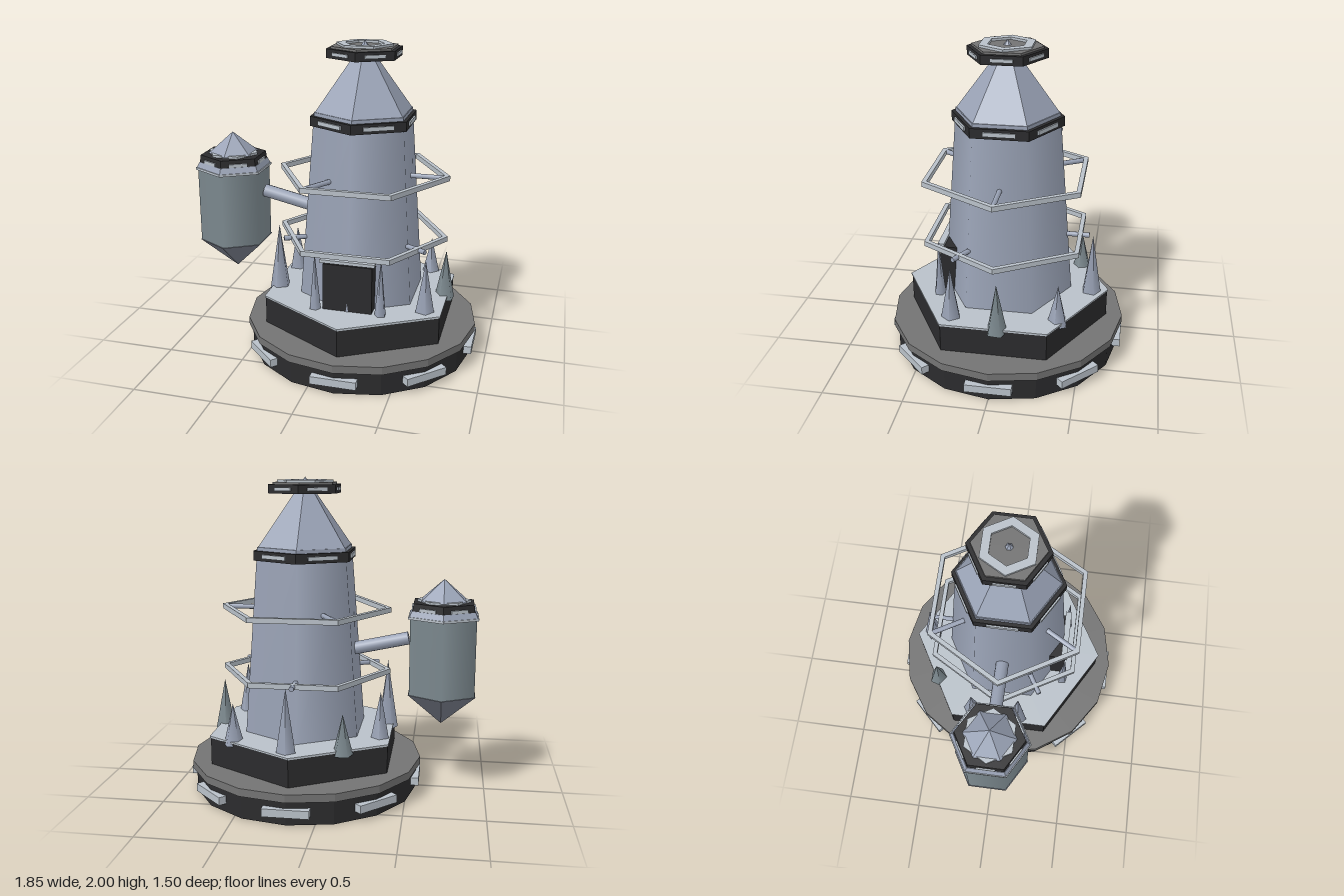
import * as THREE from 'three';

const paint = (color, flatShading = false) => new THREE.MeshStandardMaterial({ color, flatShading });
const DARK = paint(0x2b2b2d, true);
const RIM = paint(0x737373, true);
const LIGHT = paint(0xb9c1c9, true);
const BLUE = paint(0x9aa3b6);
const BLUE_FLAT = paint(0x9aa3b6, true);
const STONE = paint(0x7d8a90);
const KEEL = paint(0x7a7f8c, true);

function add(parent, name, geometry, material, x = 0, y = 0, z = 0) {
  const mesh = new THREE.Mesh(geometry, material);
  mesh.name = name;
  mesh.position.set(x, y, z);
  parent.add(mesh);
  return mesh;
}

// Prism or frustum between two heights, hexagonal unless told otherwise
function prism(parent, name, rTop, rBottom, y0, y1, material, sides = 6) {
  return add(parent, name, new THREE.CylinderGeometry(rTop, rBottom, y1 - y0, sides), material, 0, (y0 + y1) / 2, 0);
}

// Flat hexagonal frame with square section, corners on +x and -x
function hexRing(parent, name, outer, inner, y0, y1) {
  const hexagon = (r) => Array.from({ length: 6 }, (_, i) =>
    new THREE.Vector2(r * Math.cos(i * Math.PI / 3), r * Math.sin(i * Math.PI / 3)));
  const shape = new THREE.Shape(hexagon(outer));
  shape.holes.push(new THREE.Path(hexagon(inner)));
  const geometry = new THREE.ExtrudeGeometry(shape, { depth: y1 - y0, bevelEnabled: false });
  geometry.rotateX(-Math.PI / 2);
  return add(parent, name, geometry, LIGHT, 0, y0, 0);
}

// Light panels spread evenly round a band
function panels(parent, name, count, start, radius, y, width, height, depth) {
  for (let i = 0; i < count; i++) {
    const a = start + i * Math.PI * 2 / count;
    const panel = add(parent, name, new THREE.BoxGeometry(width, height, depth), LIGHT,
      Math.sin(a) * radius, y, Math.cos(a) * radius);
    panel.rotation.y = a;
  }
}

// Round bar between two points
function bar(parent, name, from, to, radius, material, sides = 8) {
  const a = new THREE.Vector3(...from), b = new THREE.Vector3(...to);
  const dir = b.clone().sub(a);
  const mesh = add(parent, name, new THREE.CylinderGeometry(radius, radius, dir.length(), sides), material);
  mesh.position.copy(a).add(b).multiplyScalar(0.5);
  mesh.quaternion.setFromUnitVectors(new THREE.Vector3(0, 1, 0), dir.normalize());
}

const HEX_FACE = Math.PI / 6;
const APOTHEM = Math.cos(HEX_FACE);

function buildBase() {
  const base = new THREE.Group();
  base.name = 'base';
  prism(base, 'baseDrum', 0.728, 0.728, 0, 0.15, DARK, 16);
  prism(base, 'baseRim', 0.752, 0.752, 0.15, 0.2, RIM, 16);
  panels(base, 'basePanel', 8, 0, 0.725, 0.08, 0.285, 0.05, 0.05);
  prism(base, 'platform', 0.648, 0.648, 0.2, 0.375, DARK);
  prism(base, 'platformDeck', 0.655, 0.655, 0.375, 0.387, LIGHT);
  return base;
}

function buildTower() {
  const tower = new THREE.Group();
  tower.name = 'tower';
  prism(tower, 'towerBody', 0.325, 0.415, 0.38, 1.5, BLUE);
  prism(tower, 'collar', 0.345, 0.345, 1.49, 1.55, DARK);
  panels(tower, 'collarPanel', 6, HEX_FACE, 0.345 * APOTHEM, 1.52, 0.19, 0.025, 0.02);
  prism(tower, 'collarRim', 0.32, 0.32, 1.55, 1.572, BLUE_FLAT);
  prism(tower, 'roof', 0, 0.315, 1.57, 2.0, BLUE_FLAT);
  prism(tower, 'cap', 0.242, 0.242, 1.9, 1.955, DARK);
  prism(tower, 'capDisc', 0.215, 0.215, 1.955, 1.968, RIM);
  panels(tower, 'capPanel', 6, HEX_FACE, 0.242 * APOTHEM, 1.927, 0.13, 0.02, 0.016);
  hexRing(tower, 'capRing', 0.178, 0.122, 1.966, 1.982);

  // Door with lintel
  add(tower, 'door', new THREE.BoxGeometry(0.31, 0.31, 0.16), DARK, 0, 0.535, 0.33);
  add(tower, 'lintel', new THREE.BoxGeometry(0.345, 0.02, 0.04), LIGHT, 0, 0.71, 0.4);

  // Two rails, each on three struts
  for (const [y, start, inner] of [[1.17, 0, 0.28], [0.77, Math.PI / 6, 0.3]]) {
    hexRing(tower, 'rail', 0.55, 0.518, y - 0.016, y + 0.016);
    for (let i = 0; i < 3; i++) {
      const a = start + i * Math.PI * 2 / 3, c = Math.cos(a), s = Math.sin(a);
      bar(tower, 'railStrut', [c * inner, y, s * inner], [c * 0.52, y, s * 0.52], 0.016, BLUE);
    }
  }
  return tower;
}

function buildPod() {
  const pod = new THREE.Group();
  pod.name = 'pod';
  prism(pod, 'podBody', 0.236, 0.236, 0.645, 1.14, STONE);
  prism(pod, 'podKeel', 0.243, 0, 0.435, 0.647, KEEL);
  prism(pod, 'podRim', 0.25, 0.25, 1.135, 1.15, LIGHT);
  prism(pod, 'podShoulder', 0.225, 0.243, 1.15, 1.185, BLUE_FLAT);
  prism(pod, 'podCollar', 0.215, 0.222, 1.18, 1.232, DARK);
  panels(pod, 'podPanel', 6, HEX_FACE, 0.22 * APOTHEM, 1.197, 0.115, 0.02, 0.016);
  hexRing(pod, 'podRing', 0.168, 0.12, 1.23, 1.247);
  prism(pod, 'podRoof', 0, 0.163, 1.24, 1.375, BLUE_FLAT);
  return pod;
}

// x, z, tip height, base radius, material
const SPIKES = [
  [-0.13, -0.46, 0.61, 0.065, STONE], [0.2, -0.545, 0.78, 0.067, BLUE],
  [0.57, -0.37, 0.62, 0.066, BLUE], [0.715, -0.02, 0.68, 0.066, STONE],
  [0.63, 0.275, 0.72, 0.067, BLUE], [0.38, 0.405, 0.76, 0.04, BLUE],
  [-0.035, 0.41, 0.76, 0.04, BLUE], [-0.355, 0.13, 0.81, 0.07, BLUE],
  [-0.335, -0.19, 0.68, 0.066, BLUE],
];

export function createModel() {
  const model = new THREE.Group();
  model.name = 'towerModel';
  const TOWER_X = 0.17;

  for (const part of [buildBase(), buildTower()]) {
    part.position.x = TOWER_X;
    model.add(part);
  }

  const pod = buildPod();
  pod.position.x = -0.71;
  model.add(pod);
  bar(model, 'podArm', [-0.495, 0.992, 0], [-0.08, 0.9, 0], 0.042, BLUE, 12);

  const spikes = new THREE.Group();
  spikes.name = 'spikes';
  SPIKES.forEach(([x, z, tip, radius, material], i) => {
    const height = tip - 0.355;
    const spike = add(spikes, 'spike', new THREE.ConeGeometry(radius, height, 5), material, x, 0.355 + height / 2, z);
    spike.rotation.y = i * 0.7;
  });
  model.add(spikes);
  return model;
}
